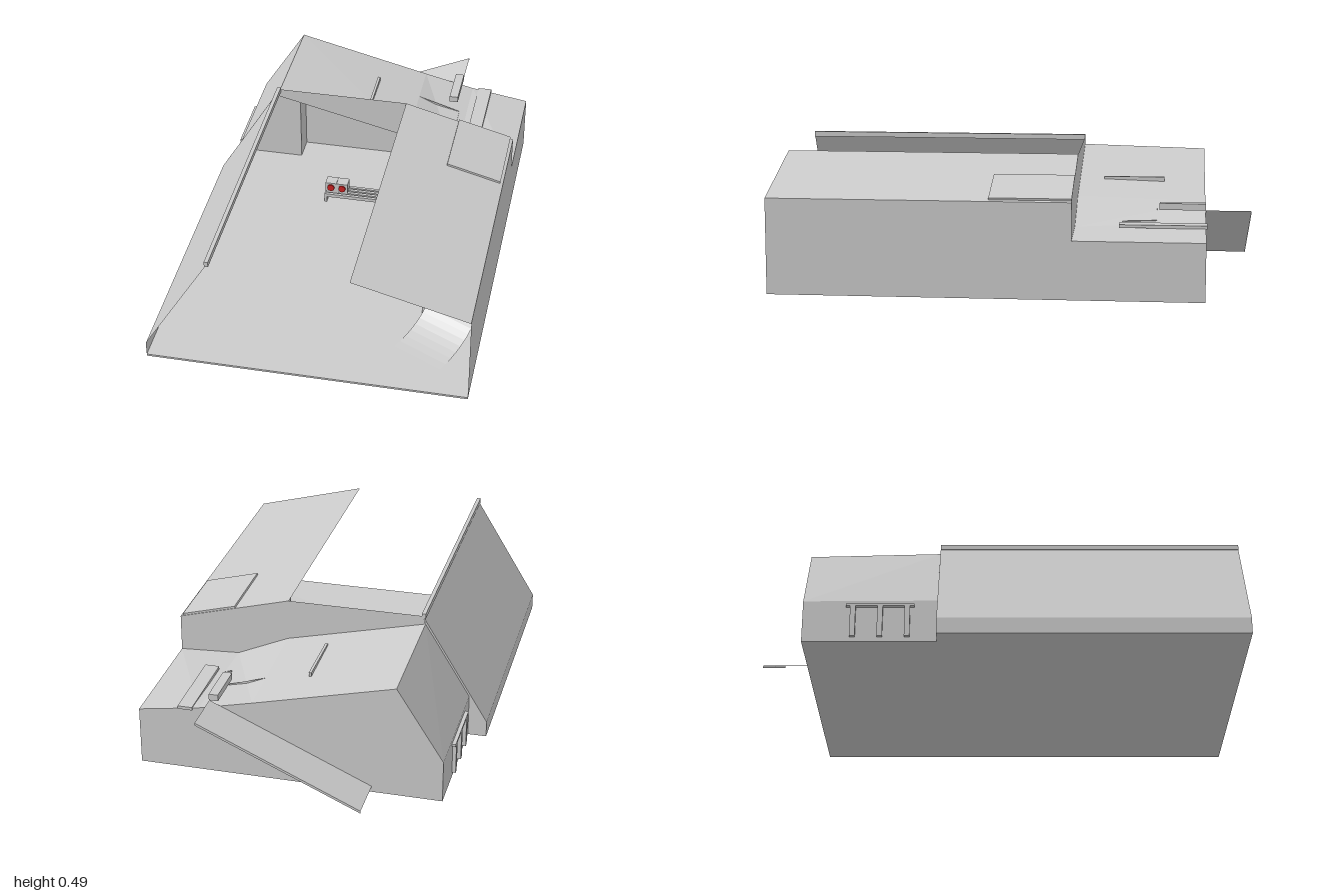
import * as THREE from 'three';

const grey = new THREE.MeshStandardMaterial({ color: 0xcccccc, flatShading: true, side: THREE.DoubleSide });
const red = new THREE.MeshStandardMaterial({ color: 0xcc2222 });

// Frame: hall runs along z, turned 15 degrees at the end
const LEFT = -0.657, BACK_LEFT = -0.586, RIGHT = 0.563;
const FRONT = 0.855, STEP = -0.29, BACK = -0.785;

// Rear roof outlines as [x, y], at the step and at the back wall
const roofFront = [[RIGHT, 0.225], [0.33, 0.237], [0.13, 0.325], [-0.41, 0.455], [BACK_LEFT, 0.168]];
const roofBack = [[RIGHT, 0.225], [0.33, 0.262], [0.126, 0.31], [-0.41, 0.442], [BACK_LEFT, 0.165]];

export function createModel() {
  const model = new THREE.Group();
  model.name = 'hangar';
  const building = new THREE.Group();
  building.name = 'building';
  building.rotation.y = Math.PI / 12;
  model.add(building);

  const add = (name, geometry, material = grey) => {
    const mesh = new THREE.Mesh(geometry, material);
    mesh.name = name;
    building.add(mesh);
    return mesh;
  };
  // Box from its limits
  const box = (name, x0, x1, y0, y1, z0, z1, material) => {
    const mesh = add(name, new THREE.BoxGeometry(x1 - x0, y1 - y0, z1 - z0), material);
    mesh.position.set((x0 + x1) / 2, (y0 + y1) / 2, (z0 + z1) / 2);
    return mesh;
  };
  // Strip of quads between two rows of points
  const strip = (name, rowA, rowB) => {
    const pos = [];
    for (let i = 0; i < rowA.length - 1; i++) {
      pos.push(...rowA[i], ...rowB[i], ...rowB[i + 1], ...rowA[i], ...rowB[i + 1], ...rowA[i + 1]);
    }
    const g = new THREE.BufferGeometry();
    g.setAttribute('position', new THREE.Float32BufferAttribute(pos, 3));
    g.computeVertexNormals();
    return add(name, g);
  };
  // Upright flat wall facing along z
  const wall = (name, outline, z) => {
    const shape = new THREE.Shape(outline.map(([x, y]) => new THREE.Vector2(x, y)));
    add(name, new THREE.ShapeGeometry(shape)).position.z = z;
  };
  // Height of the rear roof at a point
  const heightOn = (outline, x) => {
    for (let i = 0; i < outline.length - 1; i++) {
      const [x0, y0] = outline[i], [x1, y1] = outline[i + 1];
      if (x <= x0 && x >= x1) return y0 + (y1 - y0) * (x0 - x) / (x0 - x1);
    }
    return 0.2;
  };
  const roofHeight = (x, z) => THREE.MathUtils.lerp(
    heightOn(roofFront, x), heightOn(roofBack, x), (STEP - z) / (STEP - BACK));
  const atZ = (outline, z) => outline.map(([x, y]) => [x, y, z]);

  // Floor slabs
  box('hallFloor', LEFT, RIGHT, 0.002, 0.01, STEP, FRONT);
  box('rearFloor', BACK_LEFT, RIGHT, 0.002, 0.01, BACK, STEP);

  // Hall shell: leaning left wall, open middle, right wall with sloping roof
  const leftProfile = [[LEFT, 0.005], [LEFT, 0.065], [-0.4, 0.485]];
  const rightProfile = [[RIGHT, 0.005], [RIGHT, 0.368], [0.124, 0.487]];
  strip('leaningWall', atZ(leftProfile, FRONT), atZ(leftProfile, STEP));
  strip('rightWallAndRoof', atZ(rightProfile, FRONT), atZ(rightProfile, STEP));
  box('leaningWallCap', -0.41, -0.395, 0.475, 0.496, STEP, FRONT);

  // Roof hatch lying on the sloping panel
  const hatch = box('roofHatch', 0.337, 0.556, 0.0, 0.008, STEP, 0.018);
  hatch.position.y = 0.405;
  hatch.rotation.z = -Math.atan2(0.119, 0.439);

  // Cross wall above the rear room, and the small return at the left step
  wall('crossWall', [[RIGHT, 0.368], [0.124, 0.487], [-0.4, 0.487], ...roofFront.slice(0, 4).reverse()], STEP);
  wall('stepReturn', [[LEFT, 0.005], [LEFT, 0.065], [-0.41, 0.47], [-0.41, 0.455],
    [BACK_LEFT, 0.168], [BACK_LEFT, 0.005]], STEP);

  // Rear block
  strip('rearRoof', atZ(roofFront, STEP), atZ(roofBack, BACK));
  for (const [name, x, y0, y1] of [['rearRightWall', RIGHT, 0.225, 0.225], ['rearLeftWall', BACK_LEFT, 0.168, 0.165]]) {
    strip(name, [[x, 0.005, STEP], [x, 0.005, BACK]], [[x, y0, STEP], [x, y1, BACK]]);
  }
  wall('backWall', [[RIGHT, 0.005], ...roofBack, [BACK_LEFT, 0.005]], BACK);

  // Inner wall of the rear room, with a deeper bay in the middle
  const plan = [[BACK_LEFT, -0.5], [-0.41, -0.5], [-0.365, -0.5], [-0.365, -0.6], [0.13, -0.6],
    [0.3, -0.6], [0.3, -0.47], [0.33, -0.47], [RIGHT, -0.47]];
  strip('innerWall', plan.map(([x, z]) => [x, 0.005, z]), plan.map(([x, z]) => [x, roofHeight(x, z), z]));

  // Sloping ramp across the back
  strip('backRamp', [[0.288, 0.3, -0.957], [-0.323, 0.025, -0.957]], [[0.288, 0.3, BACK], [-0.323, 0.025, BACK]]);
  strip('backRampEdge', [[0.288, 0.3, -0.957], [-0.323, 0.025, -0.957]],
    [[0.288, 0.29, -0.957], [-0.323, 0.015, -0.957]]);

  // Small plates and a bar on the rear roof
  box('roofPlate', 0.255, 0.29, 0.3, 0.325, -0.785, -0.61);
  box('roofPlate', 0.355, 0.41, 0.25, 0.262, -0.79, -0.46);
  box('roofBar', -0.055, -0.045, 0.355, 0.375, -0.625, -0.385);

  // Shallow window bay on the left side
  box('sideBay', -0.6, BACK_LEFT, 0.14, 0.15, -0.626, -0.374);
  for (const z of [-0.6, -0.5, -0.4]) box('sideBayPost', -0.6, BACK_LEFT, 0.02, 0.14, z - 0.01, z + 0.01);

  // Floor grille with signal lights at its ends
  for (let i = 0; i < 4; i++) box('grilleBar', -0.2, 0.125, 0.035, 0.05, -0.272 + i * 0.02, -0.26 + i * 0.02);
  for (const x of [-0.2, 0.115]) box('grilleFoot', x, x + 0.01, 0.01, 0.036, -0.272, -0.2);
  for (const [x, y] of [[-0.175, 0.075], [-0.128, 0.075], [0.15, 0.075], [0.15, 0.03]]) {
    box('signalHousing', x - 0.023, x + 0.023, y - 0.021, y + 0.021, -0.26, -0.215);
    const lamp = add('signalLamp', new THREE.CylinderGeometry(0.015, 0.015, 0.008, 12), red);
    lamp.rotation.x = Math.PI / 2;
    lamp.position.set(x, y, -0.213);
  }

  // Twin floodlight on the cross wall
  box('floodlightHousing', 0.4, 0.515, 0.27, 0.328, STEP, -0.28);
  for (const x of [0.43, 0.486]) {
    const ring = add('floodlight', new THREE.TorusGeometry(0.02, 0.004, 6, 16));
    ring.position.set(x, 0.3, -0.278);
  }

  // Curved ramp near the front right corner
  const low = [], high = [];
  for (let i = 0; i <= 10; i++) {
    const a = i / 10 * Math.PI / 2;
    const d = 0.22 * Math.sin(a), y = 0.01 + 0.12 * (1 - Math.cos(a));
    low.push([0.25 + 0.45 * d, y, 0.63 - 0.89 * d]);
    high.push([0.44 + 0.45 * d, y, 0.725 - 0.89 * d]);
  }
  strip('curvedRamp', low, high);
  box('rampPost', 0.32, 0.335, 0.01, 0.15, 0.41, 0.425);

  return model;
}
